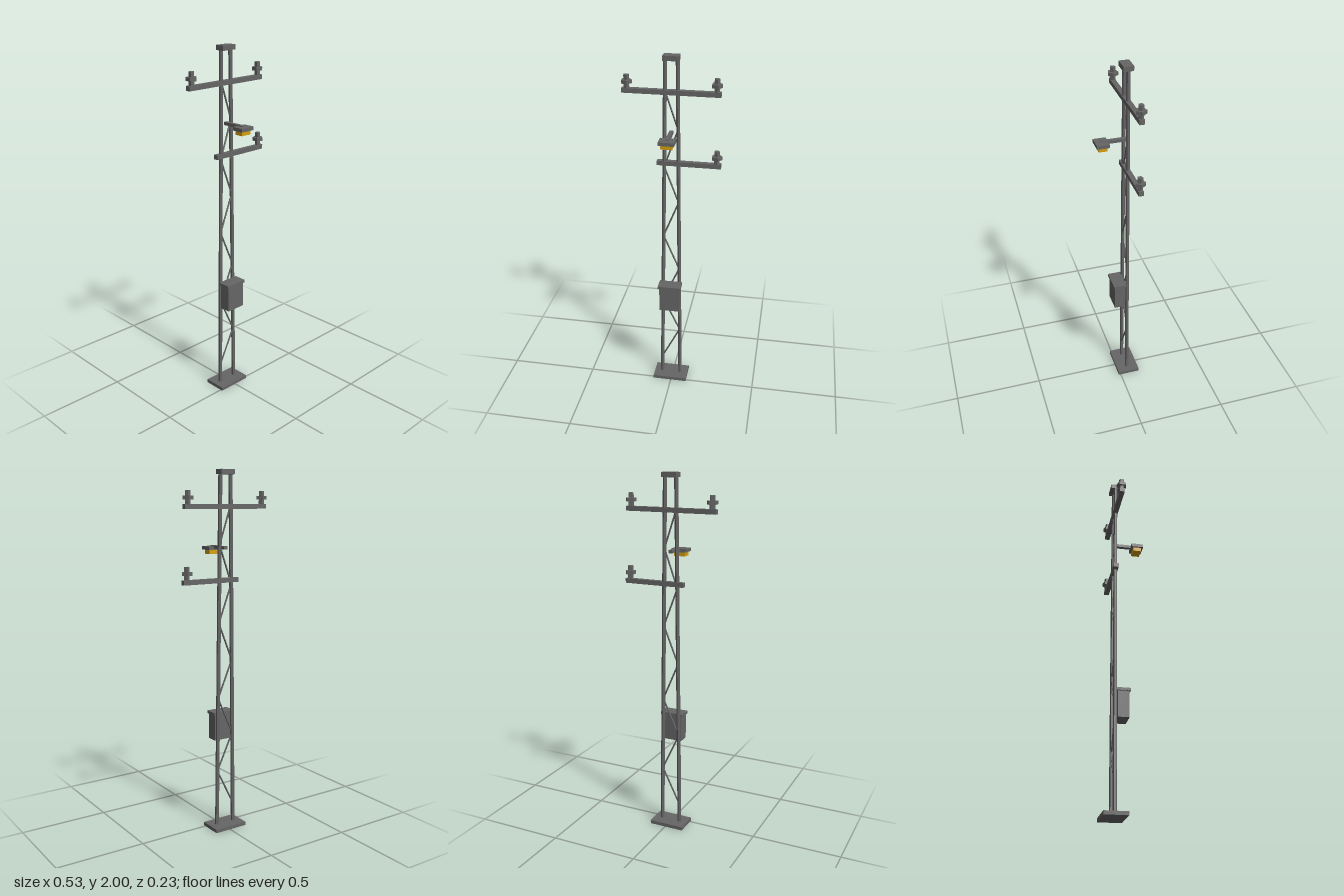
import * as THREE from 'three';

export function createModel() {
  const model = new THREE.Group();
  model.name = 'utilityPole';
  const steel = new THREE.MeshStandardMaterial({ color: 0x666666, flatShading: true });
  steel.name = 'grey steel';
  const amber = new THREE.MeshStandardMaterial({ color: 0xd4a010, flatShading: true });
  amber.name = 'amber lamp';

  const CX = -0.0075, CZ = -0.0515; // mast axis

  const add = (name, geometry, material = steel, parent = model) => {
    const mesh = new THREE.Mesh(geometry, material);
    mesh.name = name;
    parent.add(mesh);
    return mesh;
  };
  // Box given by its limits on each axis
  const box = (name, [x0, x1], [y0, y1], [z0, z1], material) =>
    add(name, new THREE.BoxGeometry(x1 - x0, y1 - y0, z1 - z0), material)
      .position.set((x0 + x1) / 2, (y0 + y1) / 2, (z0 + z1) / 2);
  // Round bar between two points
  const bar = (name, a, b, radius, sides) => {
    const dir = b.clone().sub(a);
    const mesh = add(name, new THREE.CylinderGeometry(radius, radius, dir.length(), sides));
    mesh.position.copy(a).add(b).multiplyScalar(0.5);
    mesh.quaternion.setFromUnitVectors(new THREE.Vector3(0, 1, 0), dir.normalize());
  };
  // Point on the axis of a leg, which leans inward with height
  const legPoint = (side, y) =>
    new THREE.Vector3(CX + side * (0.055 - 0.0115 * y), y, CZ);

  // Foot and cap
  box('basePlate', [-0.107, 0.093], [0, 0.02], [-0.116, 0.013]);
  box('topCap', [-0.05, 0.035], [1.974, 2], [-0.078, -0.025]);

  // Legs
  for (const side of [-1, 1])
    bar(side < 0 ? 'rightLeg' : 'leftLeg', legPoint(side, 0.01), legPoint(side, 1.985), 0.011, 6);

  // Zigzag lattice
  const step = 0.211;
  for (let i = 0; i < 8; i++) {
    const side = i % 2 ? 1 : -1;
    bar('latticeBrace', legPoint(side, 0.13 + i * step), legPoint(-side, 0.13 + (i + 1) * step), 0.005, 5);
  }

  // Crossarms with insulators
  const insulator = (x, y) => {
    const group = new THREE.Group();
    group.name = 'insulator';
    group.position.set(x, y, CZ);
    const disc = (name, r, y0, y1) =>
      add(name, new THREE.CylinderGeometry(r, r, y1 - y0, 5, 1, false, Math.PI / 2), steel, group)
        .position.y = (y0 + y1) / 2;
    disc('insulatorPin', 0.0155, -0.005, 0.07);
    disc('insulatorDisc', 0.0295, 0.024, 0.043);
    model.add(group);
  };
  const crossarm = (name, x0, x1, y, pins) => {
    box(name, [x0, x1], [y - 0.025, y], [-0.065, -0.038]);
    pins.forEach((x) => insulator(x, y));
  };
  crossarm('upperCrossarm', -0.268, 0.25, 1.82, [-0.243, 0.227]);
  crossarm('lowerCrossarm', -0.085, 0.26, 1.43, [0.236]);

  // Lamp on its bracket
  box('lampBracket', [-0.018, 0.003], [1.582, 1.599], [-0.055, 0.08]);
  box('lampHousing', [-0.05, 0.035], [1.575, 1.594], [0.045, 0.113]);
  box('lampLens', [-0.04, 0.024], [1.552, 1.575], [0.056, 0.102], amber);

  // Control cabinet
  box('cabinet', [-0.065, 0.05], [0.517, 0.666], [-0.038, 0.025]);
  box('cabinetLid', [-0.073, 0.058], [0.664, 0.679], [-0.043, 0.031]);

  return model;
}
